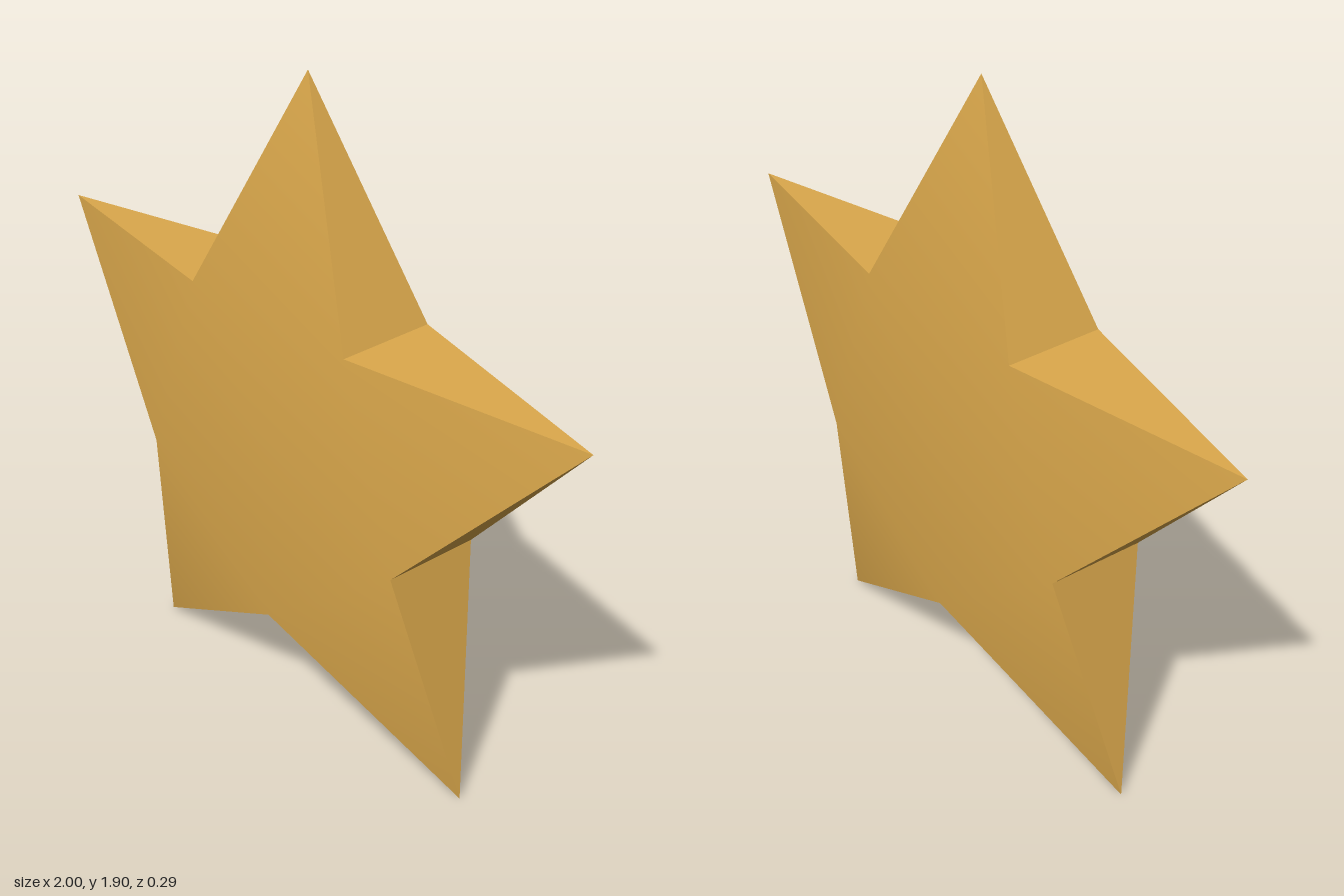
import * as THREE from 'three';
import { toCreasedNormals } from 'three/addons/utils/BufferGeometryUtils.js';

const HALF_DEPTH = 0.145;

// Points of the star, counter-clockwise seen from the front
const tips = [[0, 1.9], [-1, 1.235], [-0.615, 0], [0.615, 0], [1, 1.235]];
// Notch that follows each tip
const notches = [[-0.297, 1.26], [-0.48, 0.697], [0, 0.348], [0.48, 0.697], [0.297, 1.26]];

function starGeometry() {
  const positions = [];
  const face = (...corners) => corners.forEach((c) => positions.push(...c));
  const at = ([x, y], z) => [x, y, z];
  const centre = [0, 0.85];

  tips.forEach((point, i) => {
    const tip = at(point, 0);
    const before = notches[(i + 4) % 5];
    const after = notches[i];
    const bf = at(before, HALF_DEPTH), bb = at(before, -HALF_DEPTH);
    const af = at(after, HALF_DEPTH), ab = at(after, -HALF_DEPTH);
    // Flat core wedges, front and back
    face(at(centre, HALF_DEPTH), bf, af);
    face(at(centre, -HALF_DEPTH), ab, bb);
    // Four sides of the tapering arm
    face(bf, tip, af);
    face(ab, tip, bb);
    face(bf, bb, tip);
    face(ab, af, tip);
  });

  const geometry = new THREE.BufferGeometry();
  geometry.setAttribute('position', new THREE.Float32BufferAttribute(positions, 3));
  // Soft across the broad faces, sharp along the rim
  return toCreasedNormals(geometry, 0.4);
}

export function createModel() {
  const gold = new THREE.MeshStandardMaterial({ color: 0xdca94c });
  gold.name = 'gold';
  const star = new THREE.Mesh(starGeometry(), gold);
  star.name = 'star';
  const group = new THREE.Group();
  group.name = 'goldStar';
  group.add(star);
  return group;
}
